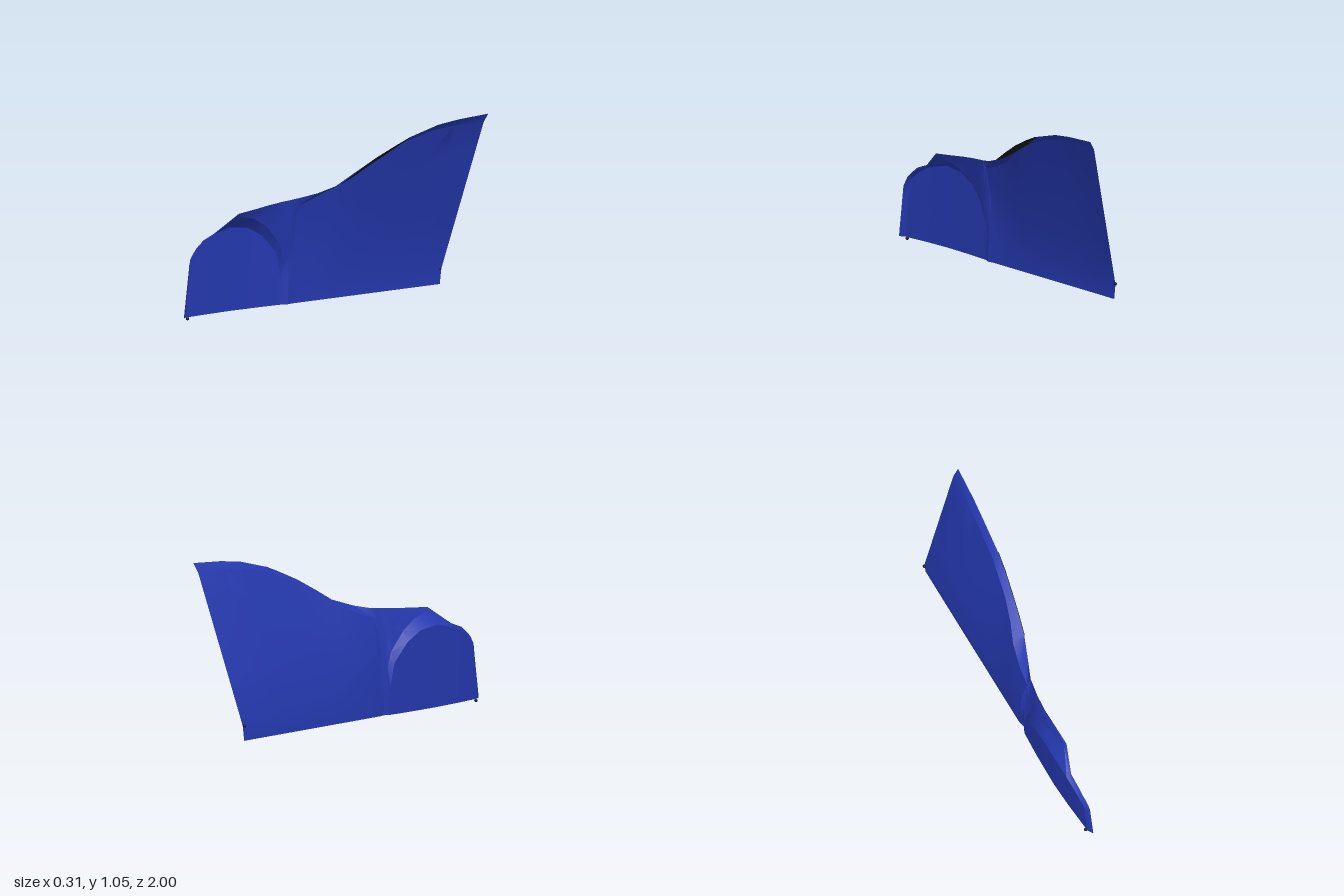
import * as THREE from 'three';
import { toCreasedNormals } from 'three/addons/utils/BufferGeometryUtils.js';

const lerp = THREE.MathUtils.lerp;

// Rear sections: bottom z, top z, seam x, seam y, lip edge x, lip edge y
const REAR = [
  [-0.87, -1.0, 0.115, 1.0, 0.15, 1.055],
  [-0.7, -0.8, 0.1, 1.0, 0.138, 1.04],
  [-0.58, -0.66, 0.088, 0.985, 0.125, 1.02],
  [-0.42, -0.47, 0.07, 0.935, 0.11, 0.965],
  [-0.33, -0.37, 0.052, 0.895, 0.097, 0.92],
  [-0.22, -0.25, 0.03, 0.835, 0.075, 0.86],
  [-0.11, -0.13, -0.005, 0.76, 0.052, 0.787],
  [-0.02, -0.03, -0.045, 0.69, 0.03, 0.722],
  [0.1, 0.1, -0.075, 0.635, -0.02, 0.675],
  [0.2, 0.2, -0.085, 0.6, -0.06, 0.652],
];

// Arch sections: bottom z, top z, recess x, y, ramp top x, y, edge x, y
const ARCH = [
  [0.235, 0.235, -0.132, 0.2, -0.125, 0.3, -0.065, 0.648],
  [0.27, 0.27, -0.148, 0.2, -0.122, 0.3, -0.07, 0.643],
  [0.3, 0.3, -0.15, 0.33, -0.12, 0.39, -0.075, 0.64],
  [0.4, 0.4, -0.155, 0.44, -0.115, 0.5, -0.08, 0.628],
  [0.5, 0.5, -0.157, 0.495, -0.1, 0.555, -0.075, 0.615],
  [0.63, 0.63, -0.158, 0.51, -0.085, 0.585, -0.07, 0.6],
  [0.77, 0.77, -0.15, 0.475, -0.125, 0.485, -0.12, 0.492],
  [0.85, 0.85, -0.143, 0.435, -0.12, 0.452, -0.118, 0.46],
  [0.9, 0.9, -0.138, 0.395, -0.117, 0.415, -0.115, 0.42],
  [0.97, 0.93, -0.132, 0.355, -0.113, 0.38, -0.11, 0.39],
  [1.0, 0.96, -0.105, 0.3, -0.105, 0.32, -0.105, 0.33],
];

// Places section points in space, leaning z from the bottom to the top
function place(points, zb, zt) {
  const y0 = points[0][1], y1 = points[points.length - 1][1];
  return points.map(([x, y]) => [x, y, lerp(zb, zt, (y - y0) / (y1 - y0))]);
}

const bottomY = (z) => 0.02 + 0.008 * (1 - z);

function rearSection([zb, zt, sx, sy, ex, ey], i) {
  const lowX = -0.142 + i * 0.0008;
  const pts = [[lowX, bottomY(zb)], [lowX, 0.125]];
  const sag = i === 0 ? 0 : 0.016;
  for (const s of [0.3, 0.55, 0.8]) {
    pts.push([lerp(lowX, sx, s) - sag * Math.sin(Math.PI * s), lerp(0.125, sy, s)]);
  }
  pts.push([sx, sy], [ex, ey]);
  return place(pts, zb, zt);
}

function archSection([zb, zt, dx, dy, rx, ry, ex, ey]) {
  const y0 = bottomY(zb);
  const bx = dx + 0.006;
  const pts = [[zb === 1 ? dx : bx, y0]];
  for (const s of [0.35, 0.7, 1]) pts.push([lerp(pts[0][0], dx, s), lerp(y0, dy, s)]);
  pts.push([rx, ry], [(rx + ex) / 2 - 0.003, (ry + ey) / 2], [ex, ey]);
  return place(pts, zb, zt);
}

// Skins a row of equal-length sections
function skin(sections) {
  const n = sections[0].length, index = [];
  for (let c = 0; c < sections.length - 1; c++) {
    for (let r = 0; r < n - 1; r++) {
      const a = c * n + r, b = a + n;
      index.push(a, a + 1, b, b, a + 1, b + 1);
    }
  }
  const g = new THREE.BufferGeometry();
  g.setAttribute('position', new THREE.Float32BufferAttribute(sections.flat(2), 3));
  g.setIndex(index);
  g.computeVertexNormals();
  return toCreasedNormals(g, 0.45);
}

export function createModel() {
  const group = new THREE.Group();
  const blue = new THREE.MeshStandardMaterial({ name: 'bluePaint', color: 0x2438ae, side: THREE.DoubleSide });
  const black = new THREE.MeshStandardMaterial({ name: 'blackTrim', color: 0x1a1a1a, side: THREE.DoubleSide });
  const add = (name, geometry, material) => {
    const mesh = new THREE.Mesh(geometry, material);
    mesh.name = name;
    group.add(mesh);
    return mesh;
  };

  // Curved side panel with recessed arch and outward lip
  add('sidePanel', skin([...REAR.map(rearSection), ...ARCH.map(archSection)]), blue);

  // Dark seal hanging under the lip, tapering at both ends
  const widths = [0.004, 0.022, 0.03, 0.025, 0.004];
  const seal = REAR.slice(3, 8).map(([, z, , , x, y], i) => [
    [x - widths[i] * 0.8, y - widths[i], z],
    [x + 0.003, y + 0.002, z],
  ]);
  add('lipSeal', skin(seal), black);

  // Small fixing studs at the lower corners
  for (const [name, x, y, z] of [['rearStud', -0.148, 0.125, -0.873], ['frontStud', -0.13, 0.012, 0.955]]) {
    add(name, new THREE.SphereGeometry(0.01, 10, 8), black).position.set(x, y, z);
  }
  return group;
}
